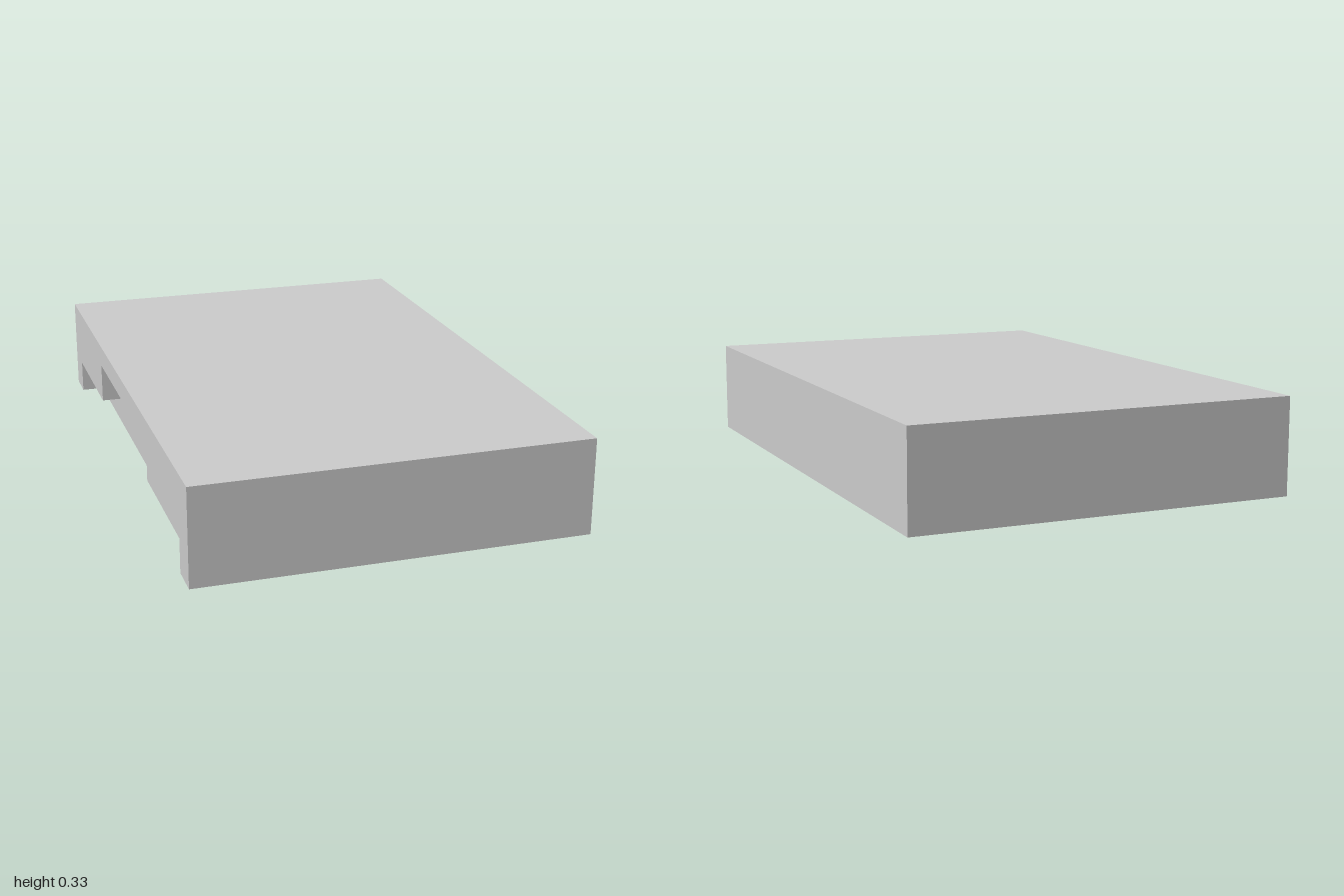
import * as THREE from 'three';

const WIDTH = 1.333, HEIGHT = 0.333, LENGTH = 2;
const RECESS = 0.08; // depth of the stepped cut-out in the right side

export function createModel() {
  const group = new THREE.Group();
  const material = new THREE.MeshStandardMaterial({ color: 0xcccccc, flatShading: true });
  const add = (name, geometry) => {
    const mesh = new THREE.Mesh(geometry, material);
    mesh.name = name;
    group.add(mesh);
  };

  // Solid block, its right wall forming the back of the recess
  const body = new THREE.BoxGeometry(WIDTH - RECESS, HEIGHT, LENGTH);
  body.translate(RECESS / 2, HEIGHT / 2, 0);
  add('body', body);

  // Side panel with a stepped opening along its lower edge: half outline, then mirrored
  const half = [[0.41, 0.257], [0.41, 0.117], [0.885, 0.117], [0.885, 0], [LENGTH / 2, 0], [LENGTH / 2, HEIGHT]];
  const mirrored = half.map(([z, y]) => [-z, y]).reverse();
  const outline = [...half, ...mirrored].map(([z, y]) => new THREE.Vector2(z, y));
  const panel = new THREE.ExtrudeGeometry(new THREE.Shape(outline), { depth: RECESS, bevelEnabled: false });
  panel.rotateY(-Math.PI / 2);
  panel.translate(RECESS - WIDTH / 2, 0, 0);
  add('notchedSidePanel', panel);

  return group;
}
